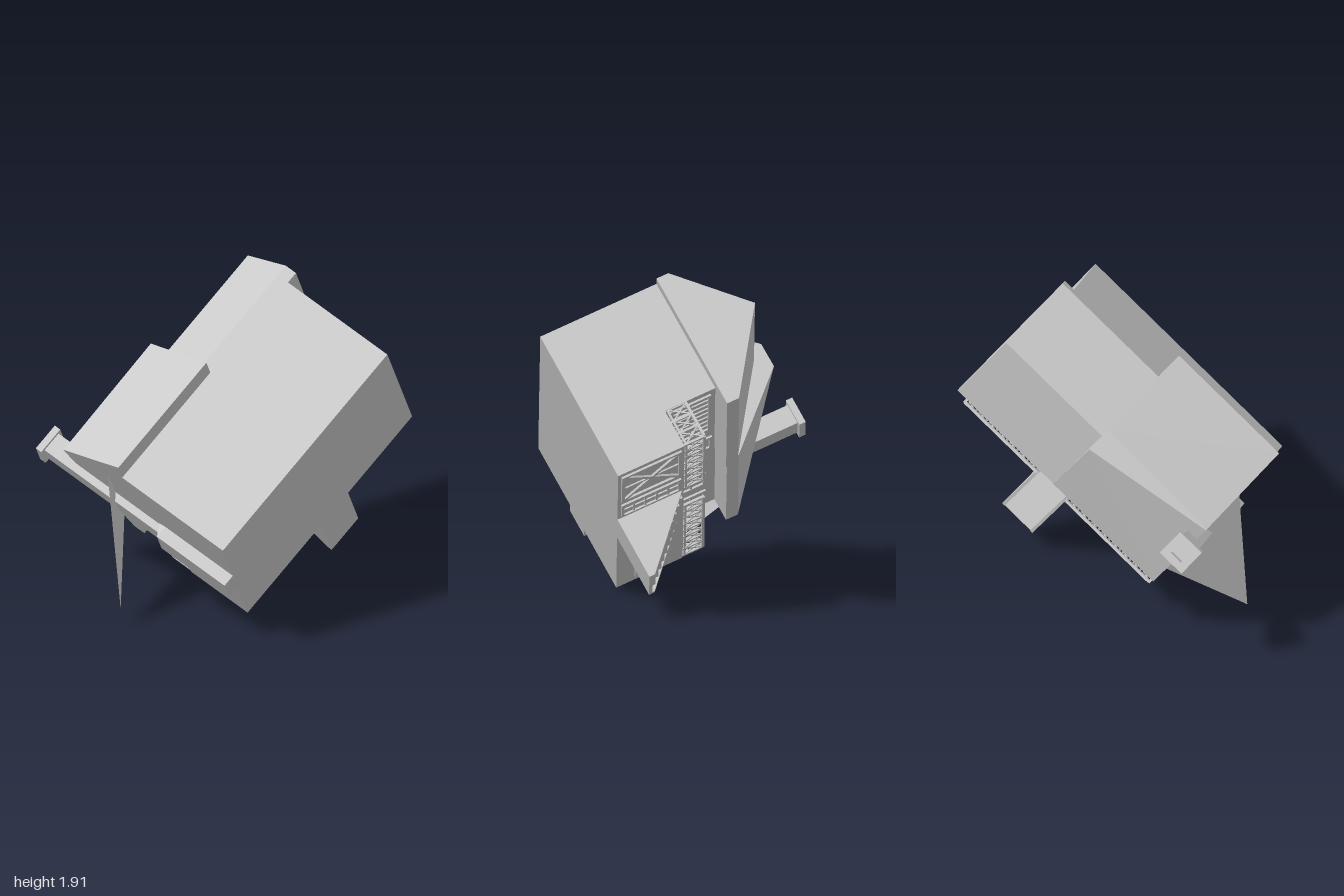
import * as THREE from 'three';
import { ConvexGeometry } from 'three/addons/geometries/ConvexGeometry.js';

const plaster = new THREE.MeshStandardMaterial({ color: 0xcccccc });
plaster.name = 'plain grey';
const plasterThin = new THREE.MeshStandardMaterial({ color: 0xcccccc, side: THREE.DoubleSide });
plasterThin.name = 'plain grey sheet';

const LEN = 1.474, DEPTH = 0.975, FLOOR = 0.42, EAVE = 0.745, SETBACK = 0.245;

function add(parent, name, geometry, material = plaster) {
  const mesh = new THREE.Mesh(geometry, material);
  mesh.name = name;
  parent.add(mesh);
  return mesh;
}

// Box given by its limits
function box(parent, name, x0, x1, y0, y1, z0, z1) {
  const m = add(parent, name, new THREE.BoxGeometry(x1 - x0, y1 - y0, z1 - z0));
  m.position.set((x0 + x1) / 2, (y0 + y1) / 2, (z0 + z1) / 2);
  return m;
}

// Straight bar between two points of the plane z = 0
function bar(parent, name, x0, y0, x1, y1, t) {
  const m = add(parent, name, new THREE.BoxGeometry(Math.hypot(x1 - x0, y1 - y0), t, t));
  m.position.set((x0 + x1) / 2, (y0 + y1) / 2, 0);
  m.rotation.z = Math.atan2(y1 - y0, x1 - x0);
  return m;
}

// Solid between two [z, y] profiles at x0 and x1
function loft(parent, name, x0, p0, x1, p1) {
  const pts = [...p0.map(([z, y]) => new THREE.Vector3(x0, y, z)),
    ...p1.map(([z, y]) => new THREE.Vector3(x1, y, z))];
  return add(parent, name, new ConvexGeometry(pts));
}

// Railing with crossed braces, running along x from 0 to length
function railing(length) {
  const g = new THREE.Group();
  g.name = 'railing';
  const h = 0.13, n = Math.max(2, Math.round(length / 0.085)), step = length / n;
  bar(g, 'topRail', 0, h, length, h, 0.016);
  bar(g, 'bottomRail', 0, 0.015, length, 0.015, 0.012);
  for (let i = 0; i <= n; i++) {
    const x = i * step;
    bar(g, 'railPost', x, 0, x, h, 0.014);
    if (i === n) break;
    bar(g, 'railBrace', x, 0.015, x + step, h, 0.009);
    bar(g, 'railBrace', x, h, x + step, 0.015, 0.009);
  }
  return g;
}

// Rectangular frame on a wall with optional inner bars
function frame(parent, name, cx, cy, w, h, z, { cols = 0, rows = 0, cross = false, t = 0.018 } = {}) {
  const g = new THREE.Group();
  g.name = name;
  g.position.set(cx, cy, z);
  const a = w / 2, b = h / 2;
  for (const s of [-1, 1]) {
    bar(g, 'frameSide', s * a, -b - t / 2, s * a, b + t / 2, t);
    bar(g, 'frameRail', -a, s * b, a, s * b, t);
    if (cross) bar(g, 'crossBrace', -a, -s * b, a, s * b, t);
  }
  for (let i = 1; i <= cols; i++) {
    const x = -a + (w * i) / (cols + 1);
    bar(g, 'mullion', x, -b, x, b, t * 0.6);
  }
  for (let i = 1; i <= rows; i++) {
    const y = -b + (h * i) / (rows + 1);
    bar(g, 'glazingBar', -a, y, a, y, t * 0.6);
  }
  parent.add(g);
}

export function createModel() {
  const model = new THREE.Group();
  model.name = 'tiltedHouse';
  const house = new THREE.Group();
  house.name = 'house';
  model.add(house);

  // Walls: full lower storey, upper storey set back behind the balcony
  box(house, 'lowerStorey', 0, LEN, 0, FLOOR, 0, DEPTH);
  box(house, 'upperStorey', 0, LEN, FLOOR, EAVE, SETBACK, DEPTH);

  // Main roof on one half, taller roof on the other
  const main = [[0.975, 0.735], [0.975, 0.81], [0.59, 1.164], [0.1, 0.815], [0.1, 0.74]];
  loft(house, 'mainRoof', 0.7, main, 1.545, main);
  loft(house, 'tallRoof',
    0, [[1.13, 0.745], [0.65, 1.24], [0.64, 1.24], [0.1, 0.82], [0.1, 0.745]],
    0.79, [[1.13, 0.745], [0.66, 1.245], [0.505, 1.247], [0.1, 0.82], [0.1, 0.745]]);

  // Pointed sheet sloping down from the end of the tall roof
  const sheet = new THREE.BufferGeometry();
  sheet.setAttribute('position', new THREE.Float32BufferAttribute(
    [0, 0.87, 0.22, -0.476, 0.49, 0.3, 0, 0.88, 0.83], 3));
  sheet.computeVertexNormals();
  add(house, 'pointedAwning', sheet, plasterThin);

  // Outside chimney: wide foot, sloped shoulder, stack and hollow cap
  box(house, 'chimneyFoot', -0.075, 0.05, 0, 0.5, 0.4, 0.58);
  loft(house, 'chimneyShoulder', -0.075, [[0.4, 0.5], [0.58, 0.5]], 0.05,
    [[0.4, 0.5], [0.58, 0.5], [0.43, 0.58], [0.55, 0.58]]);
  box(house, 'chimneyStack', -0.045, 0.08, 0.45, 1.365, 0.425, 0.55);
  const cap = new THREE.Shape([[-0.085, -0.085], [0.085, -0.085], [0.085, 0.085], [-0.085, 0.085]]
    .map(([x, y]) => new THREE.Vector2(x, y)));
  cap.holes.push(new THREE.Path([[-0.04, -0.04], [-0.04, 0.04], [0.04, 0.04], [0.04, -0.04]]
    .map(([x, y]) => new THREE.Vector2(x, y))));
  const capMesh = add(house, 'chimneyCap',
    new THREE.ExtrudeGeometry(cap, { depth: 0.04, bevelEnabled: false }));
  capMesh.rotation.x = -Math.PI / 2;
  capMesh.position.set(0.015, 1.362, 0.487);

  // Stair with solid stringers
  const S0 = 0.662, S1 = 0.9, RUN = 0.4, RISE = 0.41, STEPS = 11;
  const side = [[0, 0], [0, RISE], [-RUN, 0.035], [-RUN, 0]];
  loft(house, 'stairStringer', S0, side, S0 + 0.018, side);
  loft(house, 'stairStringer', S1 - 0.018, side, S1, side);
  for (let i = 0; i < STEPS; i++) {
    const z = -RUN + (RUN * i) / STEPS;
    box(house, 'stairStep', S0 + 0.018, S1 - 0.018, 0, (RISE * (i + 0.6)) / STEPS, z, z + RUN / STEPS);
  }

  // Balcony railings on both sides of the stair and across both ends
  for (const [x, z, length, turn] of [[0.01, 0.01, S0 - 0.01, 0], [S1, 0.01, LEN - S1 - 0.01, 0],
    [LEN - 0.01, 0.01, SETBACK - 0.01, 1], [0.01, 0.01, SETBACK - 0.01, 1]]) {
    const r = railing(length);
    r.position.set(x, FLOOR, z);
    r.rotation.y = turn ? -Math.PI / 2 : 0;
    house.add(r);
  }

  // Windows of both storeys
  for (const x of [0.12, 0.35, 0.57]) {
    frame(house, 'lowerWindow', x, 0.21, 0.13, 0.17, -0.003, { cols: 1, rows: 1 });
    frame(house, 'upperWindow', x, 0.59, 0.13, 0.17, SETBACK - 0.003, { cols: 1, rows: 1 });
  }

  // Doors and timber panels
  frame(house, 'bracedDoor', 1.28, 0.21, 0.3, 0.36, -0.003, { cross: true, cols: 1, t: 0.02 });
  frame(house, 'ladderPanel', 1.0, 0.21, 0.13, 0.36, -0.003, { cols: 1, rows: 4 });
  frame(house, 'balconyDoor', 0.8, 0.57, 0.13, 0.28, SETBACK - 0.003, { rows: 1 });
  frame(house, 'slattedPanel', 1.2, 0.58, 0.44, 0.24, SETBACK - 0.003, { cols: 7, rows: 1 });

  // Tip the whole house onto its corner
  const along = new THREE.Vector3(0.8, 0.597, -0.054).normalize();
  const back = new THREE.Vector3().crossVectors(along, new THREE.Vector3(-0.327, 0.358, -0.875)).normalize();
  const up = new THREE.Vector3().crossVectors(back, along);
  house.quaternion.setFromRotationMatrix(new THREE.Matrix4().makeBasis(along, up, back));
  house.position.set(-0.18, 0.003, 0.28);
  return model;
}
